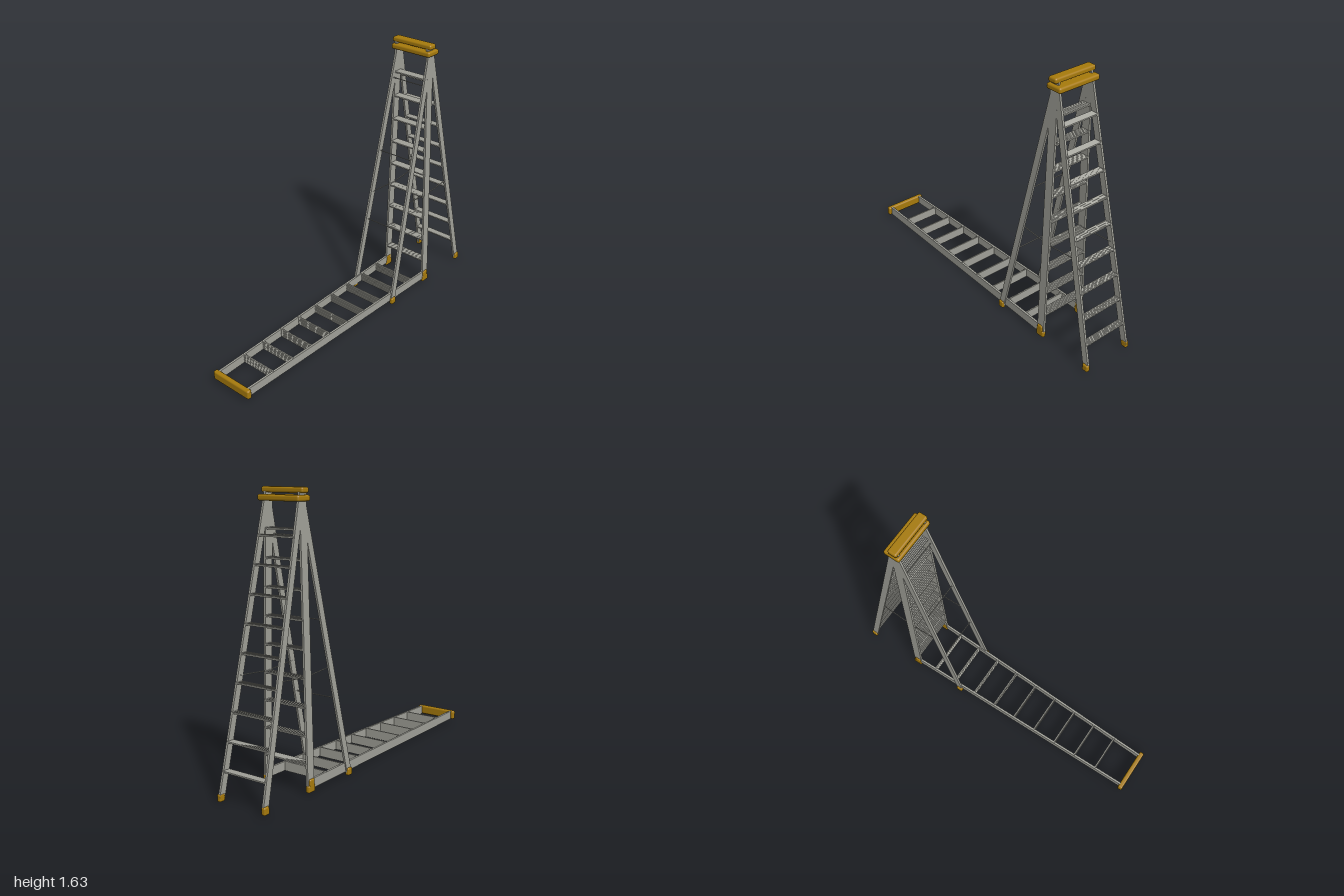
import * as THREE from 'three';
import { RoundedBoxGeometry } from 'three/addons/geometries/RoundedBoxGeometry.js';

const metal = new THREE.MeshStandardMaterial({ color: 0xa0a098 });
metal.name = 'aluminium grey';
const gold = new THREE.MeshStandardMaterial({ color: 0xa67a0c });
gold.name = 'ochre plastic';

const UP = new THREE.Vector3(0, 1, 0);
const RUNGS = 9, STEP = 0.156, FIRST = 0.165;

// Half spacing of the stiles, narrowing toward the top
const halfWidth = (y) => 0.152 - 0.0235 * y;

function add(parent, name, geometry, material, x = 0, y = 0, z = 0) {
  const mesh = new THREE.Mesh(geometry, material);
  mesh.name = name;
  mesh.position.set(x, y, z);
  parent.add(mesh);
  return mesh;
}

// Box bar running between two points
function beam(parent, name, a, b, w, d) {
  const p = new THREE.Vector3(...a), q = new THREE.Vector3(...b);
  const mesh = add(parent, name, new THREE.BoxGeometry(w, p.distanceTo(q), d), metal);
  mesh.position.addVectors(p, q).multiplyScalar(0.5);
  mesh.quaternion.setFromUnitVectors(UP, q.sub(p).normalize());
}

// Thin round rod between two points
function rod(parent, name, a, b) {
  const p = new THREE.Vector3(...a), q = new THREE.Vector3(...b);
  const mesh = add(parent, name, new THREE.CylinderGeometry(0.003, 0.003, p.distanceTo(q), 8), metal);
  mesh.position.addVectors(p, q).multiplyScalar(0.5);
  mesh.quaternion.setFromUnitVectors(UP, q.sub(p).normalize());
}

function plastic(parent, name, w, h, d, x, y, z) {
  return add(parent, name, new RoundedBoxGeometry(w, h, d, 3, Math.min(w, h, d) * 0.35), gold, x, y, z);
}

// Flat tread with grip ridges on its upper face
function tread(parent, y, z, depth) {
  const n = 6, w = depth / n, shape = new THREE.Shape();
  shape.moveTo(-depth / 2, -0.005);
  shape.lineTo(depth / 2, -0.005);
  for (let i = 0; i < n; i++) {
    const s = depth / 2 - i * w;
    shape.lineTo(s, 0.003);
    shape.lineTo(s - w * 0.5, 0.006);
    shape.lineTo(s - w, 0.003);
  }
  shape.closePath();
  const length = 2 * halfWidth(y);
  const geo = new THREE.ExtrudeGeometry(shape, { depth: length, bevelEnabled: false });
  geo.translate(0, 0, -length / 2);
  geo.rotateY(Math.PI / 2);
  add(parent, 'tread', geo, metal, 0, y, z);
}

// Straight section: two stiles, treads, feet and an end cap
function straightLadder(name) {
  const g = new THREE.Group();
  g.name = name;
  for (const s of [-1, 1]) {
    beam(g, 'stile', [s * halfWidth(0.02), 0.02, 0], [s * halfWidth(1.61), 1.61, 0], 0.013, 0.054);
    plastic(g, 'foot', 0.026, 0.042, 0.058, s * 0.153, 0.026, 0);
  }
  for (let i = 0; i < RUNGS; i++) tread(g, FIRST + i * STEP, 0, 0.057);
  plastic(g, 'endCap', 0.28, 0.031, 0.057, 0, 1.615, 0);
  return g;
}

export function createModel() {
  const model = new THREE.Group();
  model.name = 'ladderSet';

  // Upright section and an identical one lying flat
  const upright = straightLadder('uprightLadder');
  upright.position.z = -0.612;
  const flat = straightLadder('flatLadder');
  flat.rotation.x = Math.PI / 2;
  flat.position.set(0, 0.051, -0.635);
  model.add(upright, flat);

  // Folding stepladder spread around the upright section
  const steps = new THREE.Group();
  steps.name = 'stepladder';
  model.add(steps);
  const TOP = 1.565;
  const frontZ = (y) => -0.262 - 0.2245 * y;
  const rearZ = (y) => -0.985 + 0.2285 * y;
  for (const s of [-1, 1]) {
    for (const [name, zAt] of [['frontLeg', frontZ], ['rearLeg', rearZ]]) {
      beam(steps, name, [s * halfWidth(0.02), 0.02, zAt(0.02)],
        [s * halfWidth(TOP), TOP, zAt(TOP)], 0.013, 0.04);
      const foot = plastic(steps, name + 'Foot', 0.026, 0.044, 0.04, s * 0.155, 0.022, zAt(0.02));
      foot.name = name + 'Foot';
    }
    // Hinged spreader with a slight dip in the middle
    const x = s * 0.132;
    rod(steps, 'spreader', [x, 0.657, frontZ(0.657)], [x, 0.64, -0.622]);
    rod(steps, 'spreader', [x, 0.64, -0.622], [x, 0.657, rearZ(0.657)]);
  }
  for (let i = 0; i < RUNGS; i++) {
    const y = 0.163 + i * 0.152;
    tread(steps, y, rearZ(y), 0.045);
  }
  // Cross rods of the front frame
  for (const y of [0.472, 0.925, 1.38]) {
    const x = halfWidth(y), z = frontZ(y);
    rod(steps, 'crossRod', [-x, y, z], [x, y, z]);
  }
  plastic(steps, 'topCap', 0.28, 0.033, 0.102, 0, 1.574, -0.622);

  return model;
}
